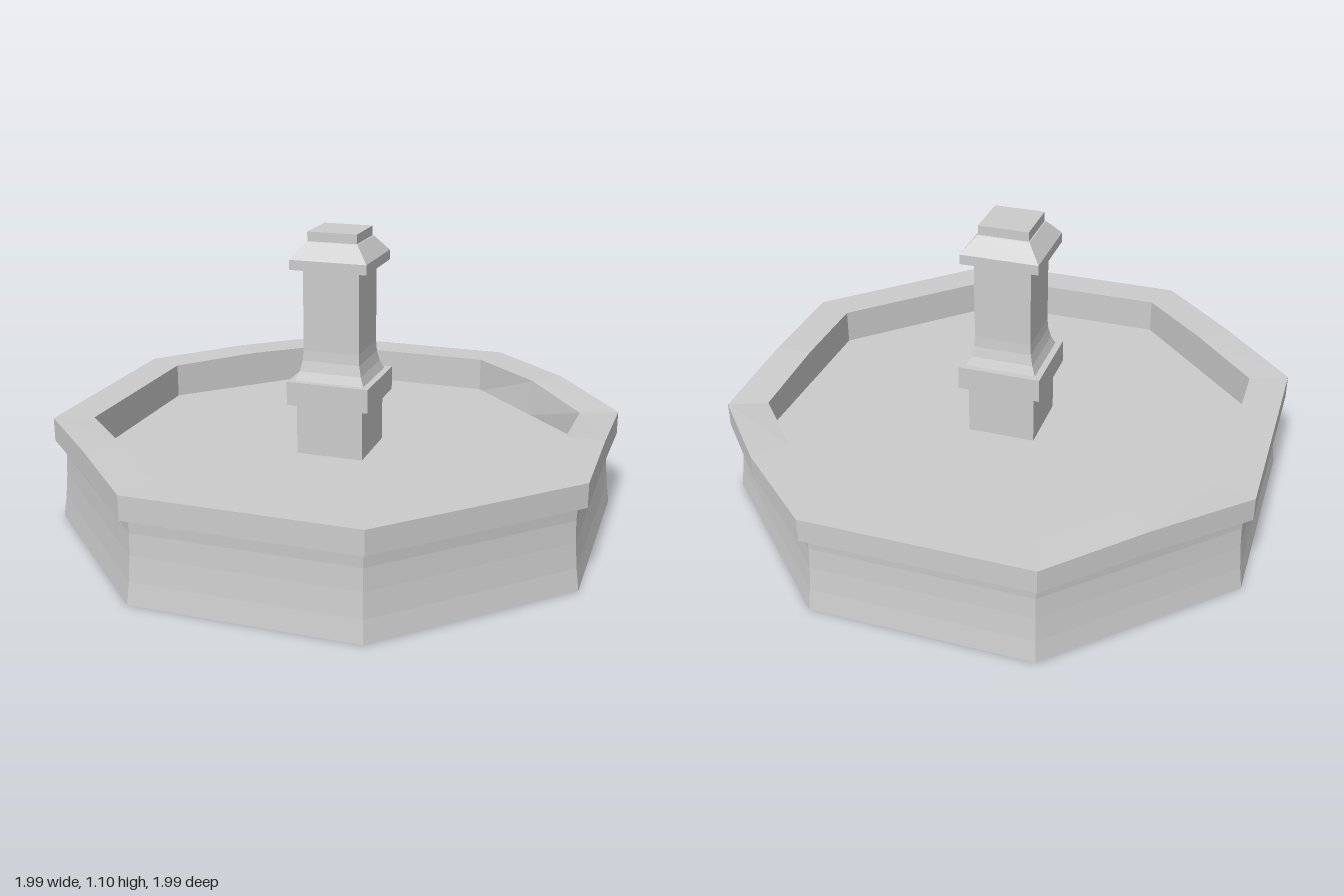
import * as THREE from 'three';

const material = new THREE.MeshStandardMaterial({
  color: 0xcccccc, flatShading: true, side: THREE.DoubleSide,
});

// Octagon outline (corners plus side midpoints) for a given half width
function outline(half) {
  const points = [];
  for (let i = 0; i < 16; i++) {
    const a = (i * Math.PI) / 8;
    const r = i % 2 ? half / Math.cos(Math.PI / 8) : half;
    points.push([r * Math.sin(a), r * Math.cos(a)]);
  }
  return points;
}

// Sweep a [half width, height] profile round the octagon
function octagonSweep(name, profile, warp = (p) => p) {
  const positions = [], index = [];
  for (const [half, y] of profile) {
    outline(half).forEach(([x, z], i) => positions.push(...warp([x, y, z], i)));
  }
  for (let j = 0; j < profile.length - 1; j++) {
    for (let i = 0; i < 16; i++) {
      const k = (i + 1) % 16;
      const a = j * 16 + i, b = j * 16 + k, c = a + 16, d = b + 16;
      index.push(a, b, d, a, d, c);
    }
  }
  const geometry = new THREE.BufferGeometry();
  geometry.setAttribute('position', new THREE.Float32BufferAttribute(positions, 3));
  geometry.setIndex(index);
  geometry.computeVertexNormals();
  const mesh = new THREE.Mesh(geometry, material);
  mesh.name = name;
  return mesh;
}

// Square column section from a [half width, height] profile
function squareSweep(name, profile) {
  const points = profile.map(([half, y]) => new THREE.Vector2(half * Math.SQRT2, y));
  const mesh = new THREE.Mesh(new THREE.LatheGeometry(points, 4, Math.PI / 4), material);
  mesh.name = name;
  return mesh;
}

// Uneven, worn stone: one sunken corner, one bulging side, raised left sides
function wornRim([x, y, z], i) {
  if (i === 5) y -= 0.025;
  if (i === 6) { x *= 1.03; z *= 1.03; }
  if (i === 10 || i === 14) y += 0.01;
  return [x, y, z];
}

export function createModel() {
  const model = new THREE.Group();
  model.name = 'fountain';

  // Basin: open-bottomed wall, overhanging rim with inner face, floor slab
  model.add(octagonSweep('basinWall', [
    [0.983, 0], [0.972, 0.08], [0.964, 0.17], [0.961, 0.25], [0.965, 0.31],
  ]));
  model.add(octagonSweep('basinRim', [
    [0.955, 0.307], [0.997, 0.307], [0.997, 0.395], [0.857, 0.395], [0.857, 0.25],
  ], (p, i) => (p[1] > 0.26 ? wornRim(p, i) : p)));
  model.add(octagonSweep('basinFloor', [
    [0, 0.135], [0.857, 0.135], [0.857, 0.26], [0, 0.26],
  ]));

  // Pillar: hollow plinth, collar, flared shaft, cap
  const pillar = new THREE.Group();
  pillar.name = 'pillar';
  pillar.add(squareSweep('plinth', [[0.128, 0], [0.128, 0.46]]));
  pillar.add(squareSweep('collar', [
    [0.128, 0.457], [0.157, 0.457], [0.157, 0.547], [0.13, 0.547],
  ]));
  pillar.add(squareSweep('shaft', [
    [0.133, 0.547], [0.119, 0.58], [0.11, 0.62], [0.107, 0.66], [0.107, 0.97],
  ]));
  pillar.add(squareSweep('cap', [
    [0.107, 0.968], [0.146, 0.968], [0.146, 1.005], [0.098, 1.065],
    [0.094, 1.067], [0.094, 1.102], [0, 1.102],
  ]));
  model.add(pillar);
  return model;
}
